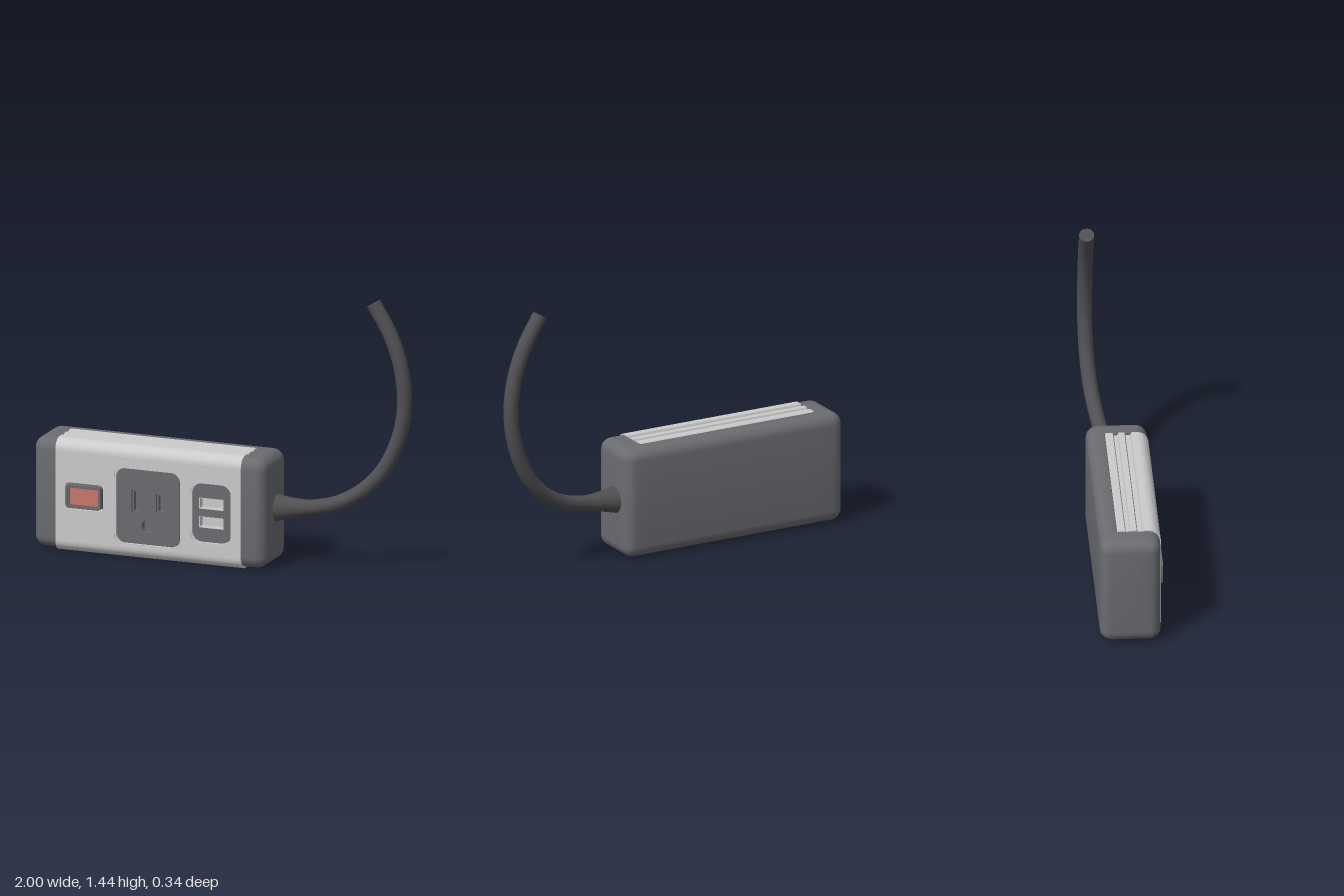
import * as THREE from 'three';
import { toCreasedNormals } from 'three/addons/utils/BufferGeometryUtils.js';

const mat = (color) => new THREE.MeshStandardMaterial({ color });
const LIGHT = mat(0xcccccc), DARK = mat(0x6b6c70), BLACK = mat(0x505052), RED = mat(0xc9786a);
const X0 = -0.87, X1 = 0.16; // ends of the light cover

function mesh(name, geometry, material, crease = 0.6) {
  const m = new THREE.Mesh(toCreasedNormals(geometry, crease), material);
  m.name = name;
  return m;
}

// Rounded rectangle outline, optionally inset
function rounded(x0, y0, x1, y1, r, inset = 0, holes = []) {
  x0 += inset; y0 += inset; x1 -= inset; y1 -= inset;
  r = Math.max(r - inset, 0.002);
  const s = new THREE.Shape(), q = Math.PI / 2;
  s.absarc(x1 - r, y0 + r, r, -q, 0);
  s.absarc(x1 - r, y1 - r, r, 0, q);
  s.absarc(x0 + r, y1 - r, r, q, 2 * q);
  s.absarc(x0 + r, y0 + r, r, 2 * q, 3 * q);
  s.closePath();
  s.holes.push(...holes);
  return s;
}

// Flat part facing +z between two depths
function plate(name, material, shape, z0, z1) {
  const g = new THREE.ExtrudeGeometry(shape, { depth: z1 - z0, bevelEnabled: false, curveSegments: 8 });
  return mesh(name, g.translate(0, 0, z0), material);
}

// Dark housing: rounded sections lofted along x, cut back in the middle to seat the cover
function housingGeometry() {
  const R = 0.06, N = 6, stations = [];
  const section = (x, inset, front, rf) => {
    const z0 = -0.165 + inset, z1 = front - inset, y0 = 0.01 + inset, y1 = 0.595 - inset;
    const rb = Math.max(R - inset, 0.003);
    rf = Math.max(rf - inset, 0.003);
    const loop = [];
    [[z1 - rf, y0 + rf, rf], [z1 - rf, y1 - rf, rf], [z0 + rb, y1 - rb, rb], [z0 + rb, y0 + rb, rb]]
      .forEach(([cz, cy, r], k) => {
        for (let i = 0; i <= N; i++) {
          const a = (k - 1 + i / N) * Math.PI / 2;
          loop.push([x, cy + r * Math.sin(a), cz + r * Math.cos(a)]);
        }
      });
    stations.push(loop);
  };
  for (let i = 0; i <= N; i++) {
    const a = i / N * Math.PI / 2;
    section(-1 + R * (1 - Math.cos(a)), R * (1 - Math.sin(a)), 0.15, R);
  }
  section(X0, 0, 0.15, R);
  section(X0, 0, -0.07, 0.003);
  section(X1, 0, -0.07, 0.003);
  section(X1, 0, 0.15, R);
  for (let i = N; i >= 0; i--) {
    const a = i / N * Math.PI / 2;
    section(0.29 - R * (1 - Math.cos(a)), R * (1 - Math.sin(a)), 0.15, R);
  }
  const pos = [], tri = (...p) => p.forEach((v) => pos.push(...v));
  const n = stations[0].length, last = stations.length - 1;
  const cy = 0.3025, cz = -0.0075;
  for (let j = 0; j < n; j++) {
    const k = (j + 1) % n;
    for (let i = 0; i < last; i++) {
      const a = stations[i], b = stations[i + 1];
      tri(a[j], b[j], a[k]);
      tri(a[k], b[j], b[k]);
    }
    tri([-1, cy, cz], stations[0][j], stations[0][k]);
    tri([0.29, cy, cz], stations[last][k], stations[last][j]);
  }
  const g = new THREE.BufferGeometry();
  g.setAttribute('position', new THREE.Float32BufferAttribute(pos, 3));
  return g;
}

// Ribbed, round-cornered edge of the cover (profile in z, y)
function coverEdgeGeometry() {
  const s = new THREE.Shape();
  s.moveTo(0.105, 0.54);
  s.lineTo(0.155, 0.54);
  s.absarc(0.095, 0.54, 0.06, 0, Math.PI / 2);
  for (const [a, b] of [[0.065, 0.03], [0, -0.03]]) {
    s.lineTo(a, 0.6);
    s.lineTo(a - 0.006, 0.585);
    s.lineTo(b + 0.006, 0.585);
    s.lineTo(b, 0.6);
  }
  s.lineTo(-0.064, 0.6);
  s.lineTo(-0.07, 0.594);
  s.lineTo(-0.07, 0.56);
  s.lineTo(0.105, 0.56);
  s.closePath();
  const g = new THREE.ExtrudeGeometry(s, { depth: X1 - X0, bevelEnabled: false, curveSegments: 10 });
  return g.rotateY(-Math.PI / 2).translate(X1, 0, 0);
}

// Cord with a flared strain relief at its root
function buildCord() {
  const group = new THREE.Group();
  group.name = 'cord';
  const path = new THREE.CatmullRomCurve3([
    [0.27, 0.304, -0.03], [0.36, 0.309, -0.036], [0.48, 0.322, -0.046], [0.6, 0.35, -0.06],
    [0.72, 0.413, -0.083], [0.83, 0.52, -0.106], [0.91, 0.67, -0.12], [0.951, 0.83, -0.125],
    [0.955, 0.97, -0.125], [0.93, 1.12, -0.125], [0.876, 1.265, -0.125], [0.785, 1.42, -0.125],
  ].map((p) => new THREE.Vector3(...p)));
  const steps = 72, sides = 24, r = 0.039;
  const g = new THREE.TubeGeometry(path, steps, r, sides);
  const p = g.attributes.position, v = new THREE.Vector3();
  for (let i = 0; i <= steps; i++) {
    const c = path.getPointAt(i / steps);
    const t = THREE.MathUtils.clamp((0.48 - c.x) / 0.19, 0, 1.1);
    const scale = c.y < 0.4 ? 1 + 0.8 * t ** 1.4 : 1;
    for (let j = 0; j <= sides; j++) {
      const k = i * (sides + 1) + j;
      v.fromBufferAttribute(p, k).sub(c).multiplyScalar(scale).add(c);
      p.setXYZ(k, v.x, v.y, v.z);
    }
  }
  group.add(mesh('cordTube', g, BLACK));
  const end = mesh('cordEnd', new THREE.CircleGeometry(r, sides), BLACK);
  end.position.copy(path.getPointAt(1));
  end.quaternion.setFromUnitVectors(new THREE.Vector3(0, 0, 1), path.getTangentAt(1));
  group.add(end);
  return group;
}

export function createModel() {
  const model = new THREE.Group();
  model.name = 'powerStrip';
  const outlet = [-0.545, 0.07, -0.17, 0.49, 0.06];
  const usb = [-0.12, 0.12, 0.11, 0.45, 0.06];
  const button = [-0.815, 0.235, -0.605, 0.375, 0.025];

  // Housing and its inner core
  model.add(mesh('housing', housingGeometry(), DARK));
  const core = mesh('core', new THREE.BoxGeometry(X1 - X0 - 0.004, 0.53, 0.2), DARK);
  core.position.set((X0 + X1) / 2, 0.3, 0.005);
  model.add(core);

  // Light cover: front panel plus mirrored ribbed edges
  const top = mesh('coverTop', coverEdgeGeometry(), LIGHT);
  const bottom = top.clone();
  bottom.name = 'coverBottom';
  bottom.scale.y = -1;
  bottom.position.y = 0.6;
  const front = rounded(X0, 0.06, X1, 0.54, 0.002, 0, [outlet, usb, button].map((o) => rounded(...o)));
  model.add(top, bottom, plate('coverFront', LIGHT, front, 0.105, 0.155));

  // Mains outlet with two blade slots and a round earth hole
  const slots = [[-0.45, 0.245, -0.402, 0.368, 0.004], [-0.314, 0.255, -0.266, 0.36, 0.004]];
  const earth = new THREE.Path().absarc(-0.36, 0.18, 0.035, 0, Math.PI * 2);
  const holes = [...slots.map((o) => rounded(...o)), earth];
  model.add(plate('outletRim', LIGHT, rounded(...outlet, 0, [rounded(...outlet, 0.01)]), 0.105, 0.149));
  model.add(plate('outletFace', DARK, rounded(...outlet, 0.013, holes), 0.105, 0.145));
  for (const o of slots) {
    model.add(plate('outletSlotFrame', DARK, rounded(...o, 0, [rounded(...o, 0.009)]), 0.105, 0.136));
  }

  // USB panel with two light ports
  const ports = [0.205, 0.305].map((y) => [-0.075, y, 0.06, y + 0.06, 0.003]);
  model.add(plate('usbRim', LIGHT, rounded(...usb, 0, [rounded(...usb, 0.008)]), 0.105, 0.149));
  model.add(plate('usbFace', DARK, rounded(...usb, 0.011, ports.map((o) => rounded(...o))), 0.105, 0.145));
  for (const o of ports) {
    model.add(plate('usbPortLiner', LIGHT, rounded(...o, 0, [rounded(...o, 0.004)]), 0.105, 0.144));
    model.add(plate('usbPortFloor', LIGHT, rounded(...o), 0.1, 0.112));
  }

  // Raised switch: two stepped frames around a red rocker
  model.add(plate('switchFrame', DARK, rounded(...button, 0.008, [rounded(...button, 0.018)]), 0.105, 0.17));
  model.add(plate('switchInnerFrame', DARK, rounded(...button, 0.018, [rounded(...button, 0.026)]), 0.105, 0.162));
  model.add(plate('switchRocker', RED, rounded(-0.786, 0.26, -0.632, 0.352, 0.006), 0.105, 0.16));

  model.add(buildCord());
  return model;
}
